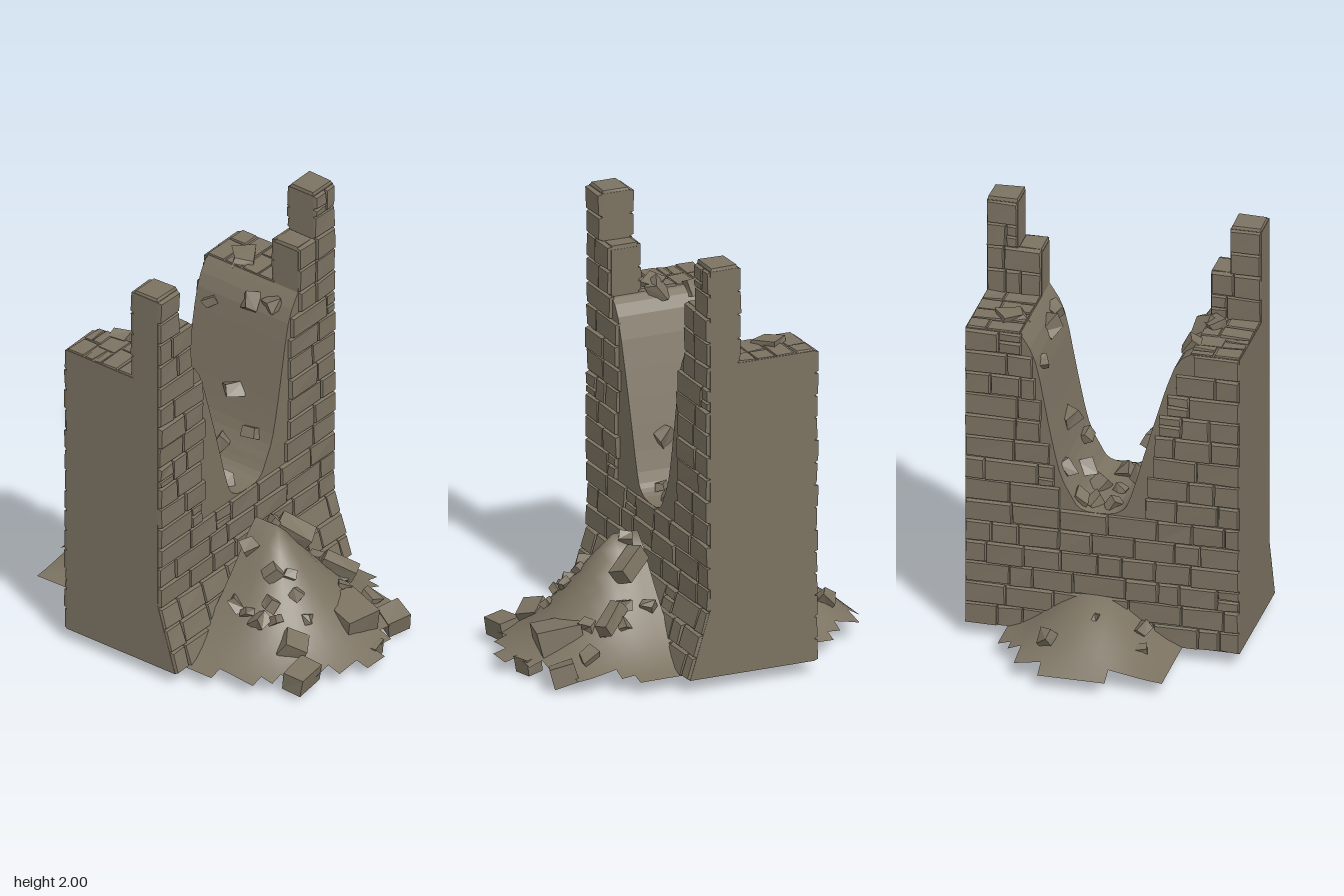
import * as THREE from 'three';
import { mergeGeometries } from 'three/addons/utils/BufferGeometryUtils.js';

const BASE = 0.06, FRONT = 0.1, BACK = -0.415, WALK = 1.53, HALF = 0.632, INNER = -0.035;

// outline of the breach from the left lip down to its floor and up to the right lip
const BREACH = new THREE.SplineCurve([[-0.41, 1.53], [-0.33, 1.45], [-0.22, 1.1], [-0.13, 0.78], [-0.08, 0.7], [0, 0.68],
  [0.1, 0.69], [0.15, 0.76], [0.2, 0.87], [0.25, 1.1], [0.31, 1.4], [0.38, 1.53]]
  .map(([x, y]) => new THREE.Vector2(x, y))).getPoints(33).map((p) => [p.x, p.y]);

let seed = 7;
const rand = (a = 0, b = 1) => {
  seed = (seed * 16807) % 2147483647;
  return a + (b - a) * seed / 2147483647;
};

// piecewise linear lookup in a list of pairs
function lookup(points, t) {
  if (t <= points[0][0]) return points[0][1];
  for (let i = 1; i < points.length; i++) {
    const [a, va] = points[i - 1], [b, vb] = points[i];
    if (t <= b) return va + (vb - va) * (t - a) / (b - a);
  }
  return points[points.length - 1][1];
}
const swap = (list) => list.map(([x, y]) => [y, x]);
const leftEdge = swap(BREACH.filter(([x]) => x <= 0)).reverse();
const rightEdge = swap(BREACH.filter(([x]) => x >= 0));
const breachY = (x) => lookup(BREACH, x);

// the foot of the front face flares outwards
const frontZ = (y) => FRONT + Math.max(0, 0.38 - y) * 0.31;

// box whose eight corners are moved by a rule, with flat faces
function cornerBox(rule) {
  const g = new THREE.BoxGeometry(2, 2, 2).toNonIndexed();
  const p = g.attributes.position, moved = {};
  for (let i = 0; i < p.count; i++) {
    const c = [p.getX(i), p.getY(i), p.getZ(i)];
    const key = c.join();
    moved[key] = moved[key] || rule(...c);
    p.setXYZ(i, ...moved[key]);
  }
  g.computeVertexNormals();
  return g;
}

// facing stone: a bulging block in face coordinates (u, v, depth), placed by a mapping
function brick(u0, u1, v0, v1, place) {
  const depth = rand(0.012, 0.02);
  return cornerBox((a, b, c) => {
    const inset = c > 0 ? rand(0.003, 0.008) : 0.0005;
    const u = a < 0 ? u0 + inset : u1 - inset;
    const v = b < 0 ? v0 + inset * 1.3 : v1 - inset * 1.3;
    return place(u, v, c > 0 ? depth + rand(-0.003, 0.003) : -0.006);
  });
}

// one row of stones of varied length
function course(out, u0, u1, v0, v1, place, min = 0.09, max = 0.25) {
  let u = u0;
  while (u < u1 - 0.01) {
    let end = u + rand(min, max);
    if (u1 - end < min * 0.7) end = u1;
    if (end - u < 0.11 && rand() < 0.3) {
      const mid = (v0 + v1) / 2 + rand(-0.015, 0.015);
      out.push(brick(u, end, v0, mid, place), brick(u, end, mid, v1, place));
    } else out.push(brick(u, end, v0, v1, place));
    u = end;
  }
}

// a wall face: full courses below the breach, ragged ones beside it
function wallFace(place, flip, bare) {
  const out = [];
  for (let i = 0; i < 14; i++) {
    const y0 = i < 6 ? BASE + i * 0.1033 : 0.68 + (i - 6) * 0.10625;
    const y1 = y0 + (i < 6 ? 0.1033 : 0.10625);
    if (i < 6) { course(out, -HALF, HALF, y0, y1, place); continue; }
    const gap = () => rand(0, 0.05) + bare * Math.max(0, 1.25 - y0);
    const l = lookup(leftEdge, y1 - 0.02) - gap(), r = lookup(rightEdge, y1 - 0.02) + gap() * 0.6;
    const [a, b] = flip ? [-r, -l] : [l, r];
    course(out, -HALF, a, y0, y1, place);
    course(out, b, HALF, y0, y1, place);
  }
  return out;
}

// loose stone: a squashed, irregular block
function rock(x, y, z, sx, sy, sz, tilt = 1.2) {
  const g = cornerBox((a, b, c) => [a * sx * rand(0.5, 1), b * sy * rand(0.5, 1), c * sz * rand(0.5, 1)]);
  g.rotateX(rand(-tilt, tilt)).rotateZ(rand(-tilt, tilt)).rotateY(rand(-1, 1));
  return g.translate(x, y, z);
}

// rubble heap: an open height sheet; each row runs from one grid column to another
function heap(z0, dir, rows, height) {
  const step = 0.062, pos = [], index = [], n = 9, w = 2 * n + 1;
  for (let j = 0; j <= rows.length; j++) for (let i = -n; i <= n; i++) {
    const x = i * step, z = z0 + dir * j * step;
    pos.push(x, height(x, z), z);
  }
  rows.forEach(([from, to], j) => {
    for (let i = from + n; i < to + n; i++) {
      const a = j * w + i, b = a + 1, c = a + w, d = c + 1;
      if (dir > 0) index.push(a, c, b, b, c, d);
      else index.push(a, b, c, b, d, c);
    }
  });
  const g = new THREE.BufferGeometry();
  g.setAttribute('position', new THREE.Float32BufferAttribute(pos, 3));
  g.setIndex(index);
  g.computeVertexNormals();
  return g;
}

// the hollow masonry has no underside: drop every triangle lying on the base plane
function openBottom(g) {
  const p = g.attributes.position, index = [];
  for (let i = 0; i < p.count; i += 3)
    if ([0, 1, 2].some((k) => p.getY(i + k) > BASE + 0.001)) index.push(i, i + 1, i + 2);
  return g.setIndex(index);
}

export function createModel() {
  seed = 7;
  const model = new THREE.Group();
  const stone = new THREE.MeshStandardMaterial({ color: 0x7b7261, side: THREE.DoubleSide });
  stone.name = 'weathered stone';
  const add = (name, geometry) => {
    const mesh = new THREE.Mesh(Array.isArray(geometry) ? mergeGeometries(geometry) : geometry, stone);
    mesh.name = name;
    model.add(mesh);
  };
  const extrude = (points, depth) => new THREE.ExtrudeGeometry(
    new THREE.Shape(points.map(([x, y]) => new THREE.Vector2(x, y))), { depth, bevelEnabled: false });

  // wall core with the breach cut through it
  add('wallCore', openBottom(extrude([[-HALF, BASE], [HALF, BASE], [HALF, WALK], ...[...BREACH].reverse(), [-HALF, WALK]],
    FRONT - BACK).translate(0, 0, BACK)));

  // flared foot of the front face
  add('flaredFoot', openBottom(extrude([[-FRONT, BASE], [-FRONT, 0.38], [-frontZ(BASE), BASE]], 2 * HALF)
    .rotateY(Math.PI / 2).translate(-HALF, 0, 0)));

  // stepped parapet remains on both sides
  for (const [s, inner] of [[-1, 0.4], [1, 0.38]]) {
    const steps = [[HALF, WALK - 0.01], [HALF, 1.982], [0.49, 1.982], [0.49, 1.745], [inner, 1.745], [inner, WALK - 0.01]];
    add(s < 0 ? 'rightParapet' : 'leftParapet',
      extrude(steps.map(([x, y]) => [s * x, y]), FRONT - INNER).translate(0, 0, INNER));
  }

  // facing stones
  const onFront = (u, v, d) => [u, v, frontZ(v) + d];
  const onBack = (u, v, d) => [-u, v, BACK - d];
  const onInner = (u, v, d) => [-u, v, INNER - d];
  const onTop = (y) => (u, v, d) => [u, y + d * 0.9, -v];
  add('frontFacing', wallFace(onFront, false, 0.3));
  add('backFacing', wallFace(onBack, true, 0.06));

  // parapet facing, coping and walkway paving
  const parapet = [], paving = [];
  for (const s of [-1, 1]) {
    const span = (a, b) => (s < 0 ? [-b, -a] : [a, b]);
    const inner = s < 0 ? 0.4 : 0.38;
    for (let i = 0; i < 4; i++) {
      const y0 = i < 2 ? WALK + i * 0.115 : 1.76 + (i - 2) * 0.111;
      const y1 = y0 + (i < 2 ? 0.115 : 0.111);
      const [a, b] = span(i < 2 ? inner : 0.49, HALF);
      course(parapet, a, b, y0, y1, onFront, 0.07, 0.15);
      course(parapet, -b, -a, y0, y1, onInner, 0.07, 0.15);
    }
    for (const [a, b, y] of [[inner, 0.49, 1.745], [0.49, HALF, 1.982]])
      course(parapet, ...span(a, b), -FRONT, -INNER, onTop(y), 0.12, 0.16);
    for (let i = 0; i < 4; i++)
      course(paving, ...span(inner, HALF), 0.035 + i * 0.095, 0.13 + i * 0.095, onTop(WALK - 0.008), 0.1, 0.18);
  }
  add('parapetFacing', parapet);
  add('walkwayPaving', paving);

  // rubble heaps spilling from the breach
  const frontHeight = (x, z) => {
    const r = Math.hypot(x / 0.57, Math.max(0, z - 0.28) / 0.57);
    return BASE + 0.54 * Math.pow(Math.max(0, 1 - Math.sqrt(r * r + 0.002)), 1.6);
  };
  const backHeight = (x, z) => {
    const side = Math.min(1, Math.abs(x - 0.03) / 0.45);
    const out = Math.max(0, 1 - Math.pow(Math.max(0, BACK - z) / 0.435, 1.7));
    return BASE + 0.22 * out * (0.5 + 0.5 * Math.cos(Math.PI * side));
  };
  add('frontHeap', heap(0.16, 1, [[-9, 9], [-9, 9], [-9, 9], [-8, 9], [-8, 8], [-8, 7], [-7, 7], [-6, 7],
    [-6, 6], [-3, 3], [-1, 1]], frontHeight));
  add('backHeap', heap(BACK, -1, [[-6, 7], [-6, 7], [-6, 7], [-6, 6], [-6, 5], [-6, 5], [-2, 3]], backHeight));

  // loose stones in the breach
  const inBreach = [[-0.38, -0.3], [-0.39, -0.12], [-0.2, -0.32], [-0.03, -0.33], [0.06, -0.32], [0.12, -0.35],
    [0.19, -0.33], [0.3, -0.33], [-0.02, -0.18], [0.08, -0.17], [0.15, -0.15], [0.23, -0.14], [0.32, -0.12],
    [-0.09, 0], [-0.02, -0.01], [0.19, -0.01], [0.33, -0.01], [-0.17, -0.05], [-0.18, -0.18], [-0.1, -0.1]];
  add('breachStones', inBreach.map(([x, z]) => {
    const s = rand(0.032, 0.055);
    return rock(x, breachY(x) + 0.003, z, s, s * 0.8, s * 1.2);
  }));

  // loose stones on the heaps and the walkway
  const onHeap = [[-0.26, 0.25], [-0.27, 0.32], [-0.27, 0.39], [-0.23, 0.45], [-0.09, 0.19], [-0.12, 0.35],
    [-0.08, 0.41], [0.03, 0.23], [0.24, 0.22], [0.22, 0.33], [0.28, 0.36], [0.27, 0.44], [0.2, 0.5],
    [-0.12, 0.55], [-0.1, 0.47], [0.32, 0.55], [-0.2, 0.4]];
  const loose = onHeap.map(([x, z]) => {
    const s = rand(0.025, 0.05);
    return rock(x, frontHeight(x, z) + 0.003, z, s, s * 0.8, s * 1.1);
  });
  for (const [x, z, s] of [[0.18, -0.68, 0.05], [-0.2, -0.49, 0.045], [-0.01, -0.57, 0.02], [-0.23, -0.6, 0.03]])
    loose.push(rock(x, backHeight(x, z), z, s, s * 0.7, s));
  loose.push(rock(0.46, 1.54, -0.27, 0.06, 0.025, 0.08, 0.15), rock(-0.44, 1.54, -0.12, 0.05, 0.03, 0.06, 0.3));
  add('looseStones', loose);

  // large fallen blocks
  const block = (x, y, z, sx, sy, sz, turn, tilt) => cornerBox((a, b, c) =>
    [a * sx * rand(0.85, 1), b * sy * rand(0.85, 1), c * sz * rand(0.85, 1)])
    .rotateX(tilt).rotateZ(tilt * 0.5).rotateY(turn).translate(x, y, z);
  add('fallenBlocks', [
    block(-0.32, 0.08, 0.67, 0.085, 0.05, 0.055, 0.1, 0.15),
    block(0.11, 0.155, 0.6, 0.09, 0.075, 0.11, -0.25, 0.15),
    block(0.09, 0.05, 0.74, 0.05, 0.04, 0.045, 0.2, 0.1),
    block(0.33, 0.068, 0.68, 0.06, 0.05, 0.06, -0.4, 0.3),
    block(-0.24, 0.16, 0.56, 0.06, 0.045, 0.06, 0.6, 0.5),
    block(0.14, 0.46, 0.27, 0.045, 0.04, 0.09, 0.4, 0.5),
    block(0.27, 0.27, 0.42, 0.035, 0.035, 0.09, 0.5, 0.5)
  ]);
  return model;
}
